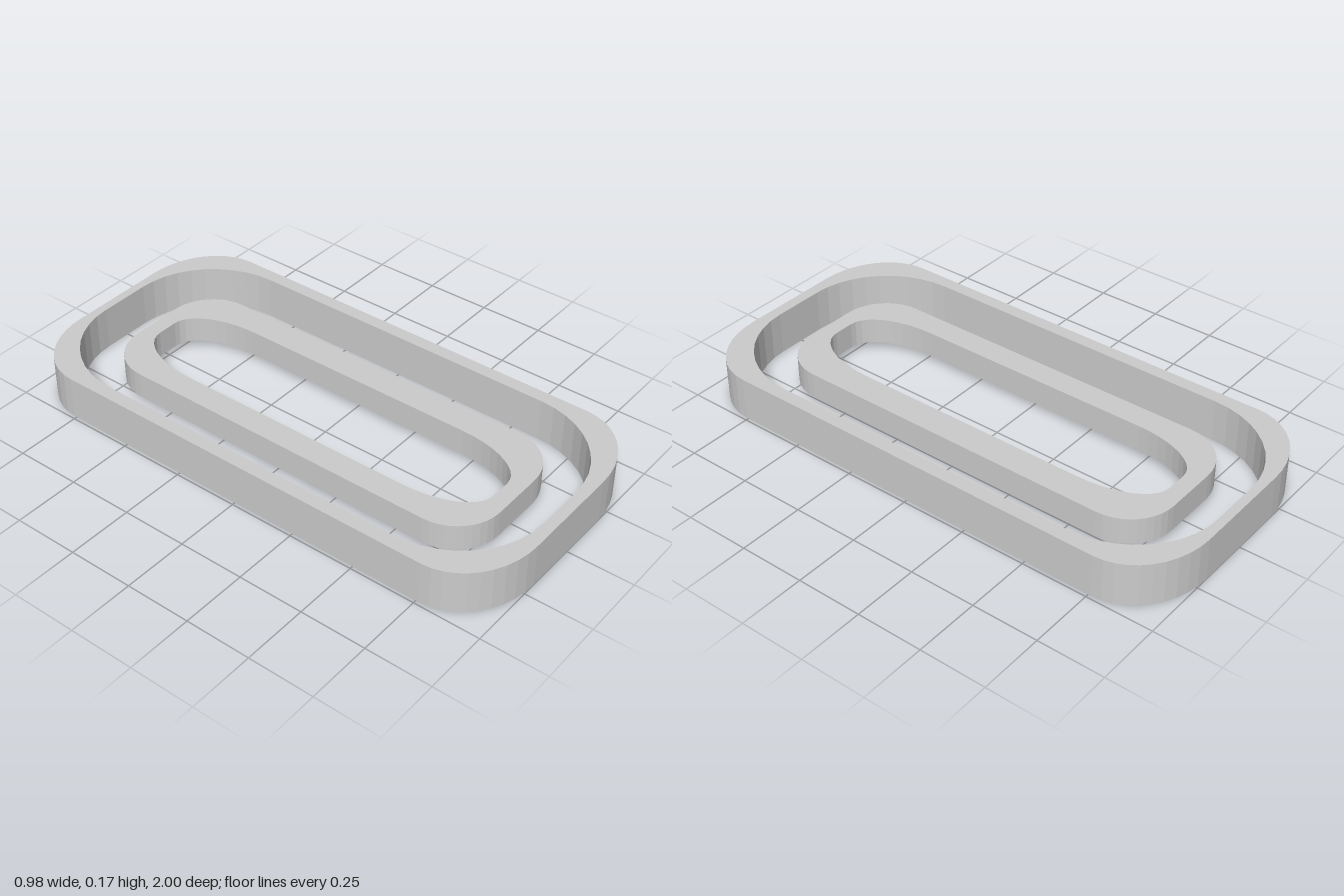
import * as THREE from 'three';

const material = new THREE.MeshStandardMaterial({
  color: 0xcccccc, flatShading: true, side: THREE.DoubleSide,
});

// Counter-clockwise loop of a rectangle with elliptical corners, as (x, -z) points
function loop({ cx = 0, cz = 0, hx, hz, rx, rz }, segments = 10) {
  const points = [];
  const corners = [[1, 1], [-1, 1], [-1, -1], [1, -1]];
  corners.forEach(([sx, sz], i) => {
    for (let k = 0; k <= segments; k++) {
      const a = (i + k / segments) * Math.PI / 2;
      points.push(new THREE.Vector2(
        cx + sx * (hx - rx) + rx * Math.cos(a),
        -cz + sz * (hz - rz) + rz * Math.sin(a)));
    }
  });
  return points;
}

// Vertical wall along a closed loop, facing outward for counter-clockwise points
function wall(points, y0, y1) {
  const positions = [];
  const indices = [];
  const n = points.length;
  points.forEach((p, i) => {
    positions.push(p.x, y0, -p.y, p.x, y1, -p.y);
    const a = 2 * i, b = 2 * ((i + 1) % n);
    indices.push(a, b, b + 1, a, b + 1, a + 1);
  });
  const geometry = new THREE.BufferGeometry();
  geometry.setAttribute('position', new THREE.Float32BufferAttribute(positions, 3));
  geometry.setIndex(indices);
  geometry.computeVertexNormals();
  return geometry;
}

// Hollow ring: flat top, two walls, open underside
function ring(name, outline, opening, y0, y1) {
  const group = new THREE.Group();
  group.name = name;
  const outer = loop(outline);
  const inner = loop(opening).reverse();
  const shape = new THREE.Shape(outer);
  shape.holes.push(new THREE.Path(inner));
  const top = new THREE.ShapeGeometry(shape).rotateX(-Math.PI / 2).translate(0, y1, 0);
  const parts = {
    Top: top,
    OuterWall: wall(outer, y0, y1),
    InnerWall: wall(inner, y0, y1),
  };
  for (const [part, geometry] of Object.entries(parts)) {
    const mesh = new THREE.Mesh(geometry, material);
    mesh.name = name + part;
    group.add(mesh);
  }
  return group;
}

export function createModel() {
  const model = new THREE.Group();
  model.name = 'nestedRings';
  // Large ring standing on the ground
  model.add(ring('outerRing',
    { hx: 0.488, hz: 1, rx: 0.29, rz: 0.24 },
    { hx: 0.437, hz: 0.962, cz: -0.005, rx: 0.337, rz: 0.35 },
    0, 0.165));
  // Smaller, lower ring held halfway up inside it
  model.add(ring('innerRing',
    { cx: -0.004, hx: 0.281, hz: 0.802, rx: 0.18, rz: 0.18 },
    { cx: -0.012, hx: 0.178, hz: 0.74, rx: 0.138, rz: 0.27 },
    0.032, 0.133));
  return model;
}
